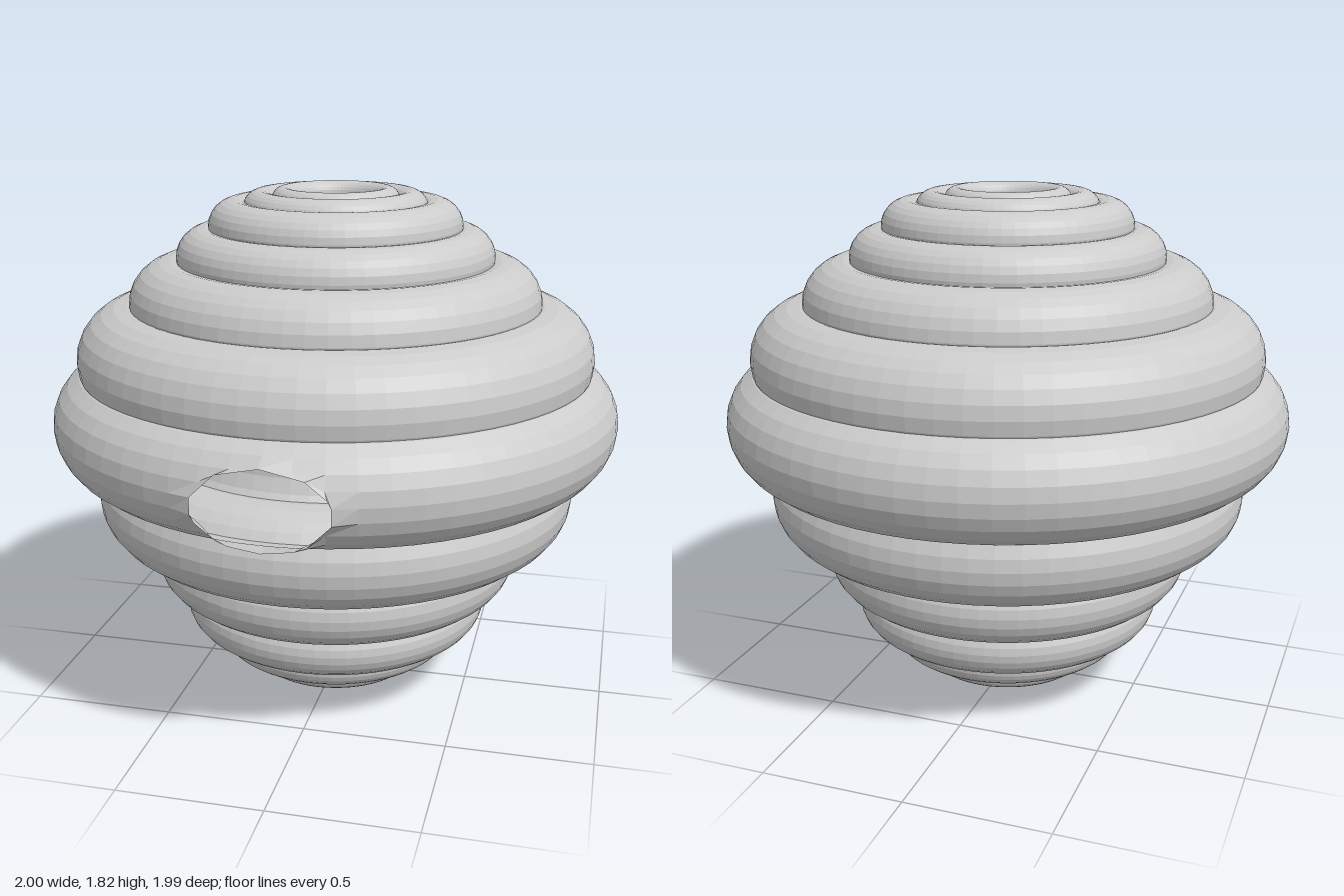
import * as THREE from 'three';

const material = new THREE.MeshStandardMaterial({ color: 0xcccccc, flatShading: true, side: THREE.DoubleSide });

// Coils from bottom to top: [outer radius, tube radius, centre height]
const COILS = [
  [0.22, 0.04, 0.045],
  [0.325, 0.055, 0.107],
  [0.44, 0.075, 0.197],
  [0.555, 0.105, 0.315],
  [0.66, 0.13, 0.5],
  [0.855, 0.17, 0.75],
  [1.0, 0.19, 1.03],
  [0.907, 0.18, 1.25],
  [0.72, 0.145, 1.435],
  [0.553, 0.1, 1.59],
  [0.44, 0.09, 1.695],
  [0.32, 0.06, 1.755],
  [0.22, 0.04, 1.785],
];
const WIDEST = 6;

// Oval entrance on the front of the widest coil
const DOOR = { y: 1.005, rx: 0.22, ry: 0.132, z: 0.985 };

function coilGeometry([outer, tube, y]) {
  const g = new THREE.TorusGeometry(outer - tube, tube, 24, 64);
  g.rotateX(-Math.PI / 2);
  g.translate(0, y, 0);
  return g;
}

// Drop the faces inside the oval and pull the ragged border onto a raised rim
function cutDoor(g) {
  const p = g.attributes.position;
  const reach = (i) => Math.hypot(p.getX(i) / DOOR.rx, (p.getY(i) - DOOR.y) / DOOR.ry);
  const inside = [];
  for (let i = 0; i < p.count; i++) inside.push(p.getZ(i) > 0.85 && reach(i) < 1);

  const kept = [];
  const rim = new Set();
  const index = g.index.array;
  for (let f = 0; f < index.length; f += 3) {
    const face = [index[f], index[f + 1], index[f + 2]];
    if (face.every((i) => inside[i])) continue;
    kept.push(...face);
    face.filter((i) => inside[i]).forEach((i) => rim.add(i));
  }
  for (const i of rim) {
    const s = 1 / reach(i);
    p.setXYZ(i, p.getX(i) * s, DOOR.y + (p.getY(i) - DOOR.y) * s, DOOR.z);
  }
  g.setIndex(kept);
  g.computeVertexNormals();
  return g;
}

export function createModel() {
  const hive = new THREE.Group();
  hive.name = 'hive';
  COILS.forEach((coil, i) => {
    const g = coilGeometry(coil);
    const mesh = new THREE.Mesh(i === WIDEST ? cutDoor(g) : g, material);
    mesh.name = i === WIDEST ? 'entranceCoil' : `coil${i + 1}`;
    hive.add(mesh);
  });
  return hive;
}
